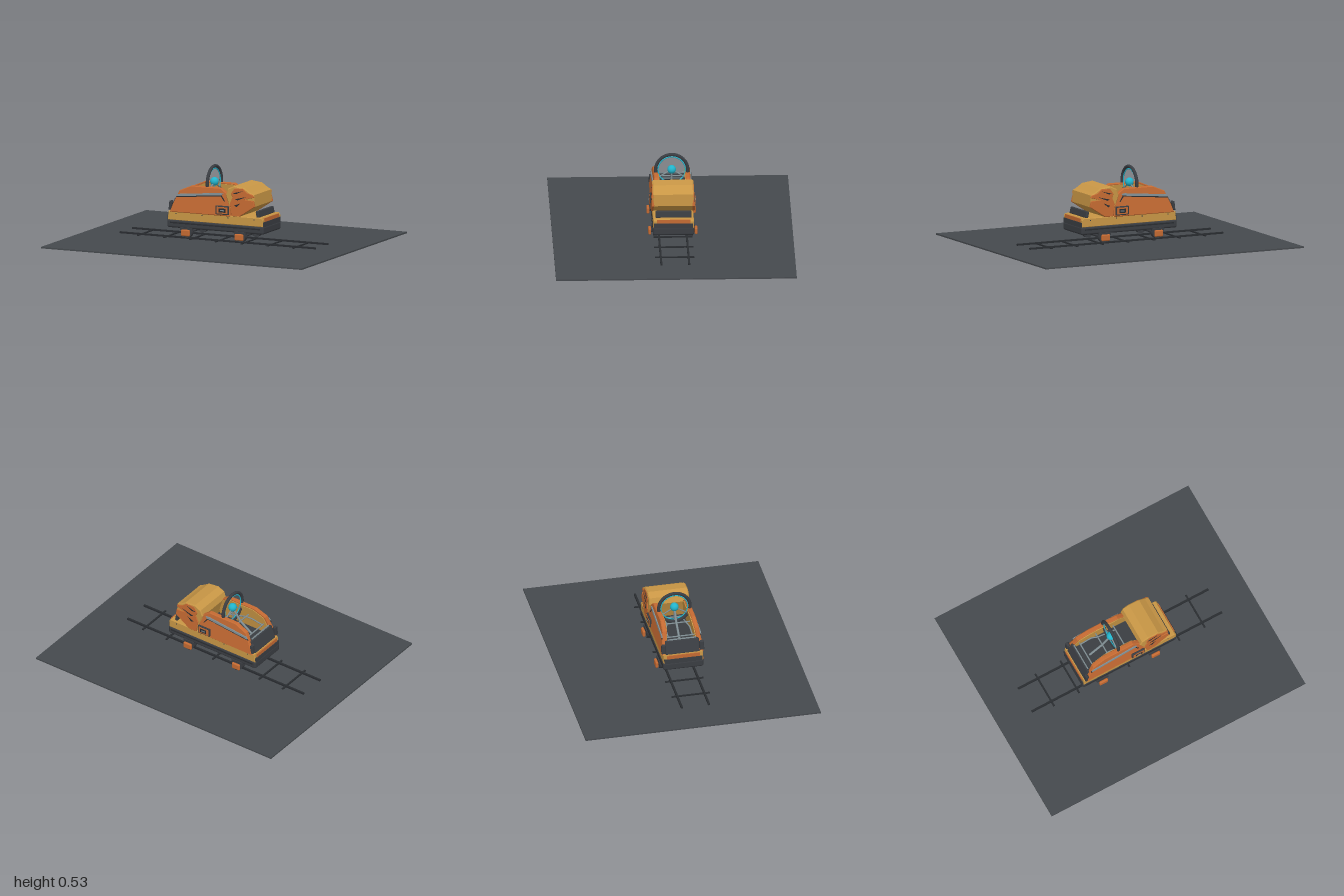
import * as THREE from 'three';
import { RoundedBoxGeometry } from 'three/addons/geometries/RoundedBoxGeometry.js';

const mat = (name, color) => new THREE.MeshStandardMaterial({ name, color });

export function createModel() {
  const model = new THREE.Group();
  model.name = 'railCart';
  const ground = mat('groundGrey', 0x45494d);
  const dark = mat('darkRubber', 0x3a3d42);
  const black = mat('nearBlack', 0x292c30);
  const orange = mat('orangePaint', 0xc46a32);
  const gold = mat('goldPaint', 0xc89645);
  const steel = mat('steelTrim', 0x7f8d92);
  const cyan = mat('cyanGlow', 0x22b4cc);

  function add(name, geo, material, x = 0, y = 0, z = 0) {
    const m = new THREE.Mesh(geo, material);
    m.name = name;
    m.position.set(x, y, z);
    model.add(m);
    return m;
  }
  const box = (name, material, w, h, d, x, y, z) =>
    add(name, new THREE.BoxGeometry(w, h, d), material, x, y, z);
  const rounded = (name, material, w, h, d, r, x, y, z) =>
    add(name, new RoundedBoxGeometry(w, h, d, 3, r), material, x, y, z);
  const tube = (name, material, pts, r) => {
    const path = new THREE.CurvePath();
    const v = pts.map(p => new THREE.Vector3(...p));
    for (let i = 1; i < v.length; i++) path.add(new THREE.LineCurve3(v[i - 1], v[i]));
    return add(name, new THREE.TubeGeometry(path, 24, r, 8), material);
  };
  const outline = pts => new THREE.Shape(pts.map(p => new THREE.Vector2(...p)));

  // Side profile pushed out to one side, leaning inwards with height
  function sidePlate(name, material, shape, inner, depth, side, lean = 0, bevel = 0) {
    const geo = new THREE.ExtrudeGeometry(shape, {
      depth: depth - 2 * bevel, bevelEnabled: bevel > 0, bevelSegments: 1,
      bevelSize: bevel, bevelThickness: bevel, bevelOffset: -bevel,
    });
    geo.translate(0, 0, side > 0 ? inner + bevel : -inner - depth + bevel);
    const p = geo.attributes.position;
    for (let i = 0; i < p.count; i++) p.setZ(i, p.getZ(i) - side * lean * (p.getY(i) - 0.2));
    geo.computeVertexNormals();
    return add(name, geo, material);
  }

  // Ground and track
  box('ground', ground, 2, 0.01, 1.66, 0, 0.005, 0);
  for (const s of [-1, 1]) box('rail', black, 1.5, 0.012, 0.014, 0, 0.018, s * 0.096);
  for (let i = -3; i <= 3; i++) box('crossTie', black, 0.012, 0.008, 0.27, i * 0.198, 0.014, 0);

  // Wheels, axles and hub caps
  for (const x of [-0.218, 0.193]) {
    const axle = add('axle', new THREE.CylinderGeometry(0.012, 0.012, 0.3, 10), dark, x, 0.062, 0);
    axle.rotation.x = Math.PI / 2;
    for (const s of [-1, 1]) {
      const wheel = add('wheel', new THREE.CylinderGeometry(0.036, 0.036, 0.032, 20), dark, x, 0.061, s * 0.121);
      wheel.rotation.x = Math.PI / 2;
      rounded('hubCap', orange, 0.066, 0.046, 0.02, 0.009, x, 0.063, s * 0.16);
      box('wheelBracket', dark, 0.09, 0.02, 0.022, x, 0.088, s * 0.138);
    }
  }

  // Chassis: dark bumper skirt under a tapered gold deck
  rounded('bumperSkirt', dark, 0.74, 0.058, 0.285, 0.014, 0, 0.118, 0);
  for (const s of [-1, 1]) box('skirtGroove', black, 0.69, 0.009, 0.004, 0, 0.125, s * 0.143);
  const deck = outline([[-0.365, 0.142], [0.365, 0.142], [0.365, 0.19], [0.355, 0.205], [-0.358, 0.205]]);
  sidePlate('deck', gold, deck, -0.14, 0.28, 1, 0, 0.004);
  for (const s of [-1, 1]) {
    box('endBumper', dark, 0.006, 0.035, 0.27, s * 0.366, 0.158, 0);
    box('endPanel', orange, 0.006, 0.027, 0.23, s * 0.363, 0.188, 0);
    for (const x of [-0.3, -0.1, 0.1, 0.3]) box('deckBolt', dark, 0.007, 0.007, 0.004, x, 0.19, s * 0.14);
  }

  // Cockpit floor, nose slab and tail pad
  box('cockpitFloor', dark, 0.46, 0.012, 0.23, -0.1, 0.211, 0);
  const nose = rounded('noseSlab', dark, 0.025, 0.1, 0.24, 0.008, -0.325, 0.245, 0);
  nose.rotation.z = -0.35;
  const noseTrim = box('noseTrim', steel, 0.006, 0.012, 0.2, -0.309, 0.295, 0);
  noseTrim.rotation.z = -0.35;
  const tail = rounded('tailPad', dark, 0.022, 0.05, 0.25, 0.008, 0.315, 0.225, 0);
  tail.rotation.z = 0.2;

  const cowl = [[-0.345, 0.2], [-0.325, 0.255], [-0.28, 0.352], [-0.19, 0.39], [0.035, 0.39],
    [0.085, 0.355], [0.118, 0.285], [0.118, 0.2]];
  const strip = [[-0.297, 0.312], [-0.288, 0.327], [0.03, 0.357], [0.058, 0.353], [0.045, 0.342]];
  const seam = [[-0.305, 0.303], [-0.297, 0.312], [0.045, 0.342], [0.075, 0.3], [0.068, 0.3], [0.04, 0.335]];
  const wing = [[0.13, 0.205], [0.115, 0.29], [0.135, 0.335], [0.122, 0.36], [0.15, 0.4], [0.215, 0.402],
    [0.245, 0.375], [0.29, 0.362], [0.3, 0.345], [0.225, 0.325], [0.297, 0.322], [0.305, 0.28], [0.19, 0.205]];
  const slashes = [
    [[0.14, 0.365], [0.215, 0.385], [0.16, 0.36]],
    [[0.155, 0.325], [0.245, 0.347], [0.175, 0.318]],
    [[0.15, 0.28], [0.2, 0.3], [0.17, 0.272]],
  ];
  for (const s of [-1, 1]) {
    // Side cowls with lining, trim and seam
    sidePlate('sideCowl', orange, outline(cowl), 0.117, 0.032, s, 0.13, 0.005);
    sidePlate('cowlLining', gold, outline(cowl.map(([x, y]) => [x * 0.95, 0.2 + (y - 0.2) * 0.94])), 0.111, 0.007, s, 0.13);
    sidePlate('cowlTrim', steel, outline(strip), 0.148, 0.008, s, 0.13);
    sidePlate('cowlSeam', black, outline(seam), 0.147, 0.005, s, 0.13);
    // Dark nose corner guard
    sidePlate('noseGuard', dark, outline([[-0.353, 0.215], [-0.348, 0.275], [-0.332, 0.28], [-0.325, 0.265], [-0.338, 0.215]]),
      0.122, 0.03, s, 0.05, 0.003);
    // Framed control hatch
    rounded('hatchFrame', dark, 0.1, 0.062, 0.014, 0.005, 0.06, 0.241, s * 0.149);
    box('hatchPanel', orange, 0.083, 0.046, 0.005, 0.06, 0.241, s * 0.156);
    box('hatchWindow', black, 0.05, 0.028, 0.004, 0.062, 0.24, s * 0.158);
    box('hatchLever', steel, 0.03, 0.007, 0.005, 0.062, 0.24, s * 0.16);
    // Jagged seat side wings
    sidePlate('seatWing', orange, outline(wing), 0.134, 0.018, s, 0.04, 0.003);
    for (const pts of slashes) sidePlate('wingSlash', black, outline(pts), 0.15, 0.004, s, 0.04);
  }

  // Padded seat
  const seat = outline([[0.13, 0.2], [0.1, 0.29], [0.08, 0.347], [0.096, 0.392], [0.145, 0.415], [0.225, 0.405],
    [0.27, 0.375], [0.298, 0.362], [0.302, 0.28], [0.187, 0.203]]);
  sidePlate('seat', gold, seat, -0.142, 0.284, 1, 0, 0.007);

  // Cockpit tube frame and steering column
  const bars = [[-0.265, 0.29], [-0.14, 0.32], [0, 0.28]];
  for (const [x, y] of bars) tube('crossBar', steel, [[x, y, -0.105], [x, y, 0.105]], 0.005);
  for (const s of [-1, 1]) {
    tube('frameTube', steel, [[-0.265, 0.29, s * 0.085], [-0.18, 0.305, s * 0.085], [-0.14, 0.32, s * 0.065], [0, 0.28, s * 0.065]], 0.005);
  }
  tube('steeringColumn', steel, [[-0.24, 0.25, 0], [-0.14, 0.32, 0], [-0.075, 0.405, 0]], 0.008);

  // Steering wheel with glowing inner ring and hub
  const rim = add('steeringRim', new THREE.TorusGeometry(0.111, 0.0115, 12, 48), dark, -0.074, 0.407, 0);
  const glow = add('steeringGlowRing', new THREE.TorusGeometry(0.094, 0.004, 8, 48), cyan, -0.074, 0.407, 0);
  rim.rotation.y = glow.rotation.y = Math.PI / 2;
  add('steeringHub', new THREE.SphereGeometry(0.03, 20, 14), cyan, -0.073, 0.41, 0);
  for (const a of [Math.PI * 1.5, Math.PI * 1.17, Math.PI * 1.83]) {
    tube('steeringSpoke', steel, [[-0.074, 0.407, 0], [-0.074, 0.407 + Math.sin(a) * 0.105, Math.cos(a) * 0.105]], 0.005);
  }
  return model;
}
